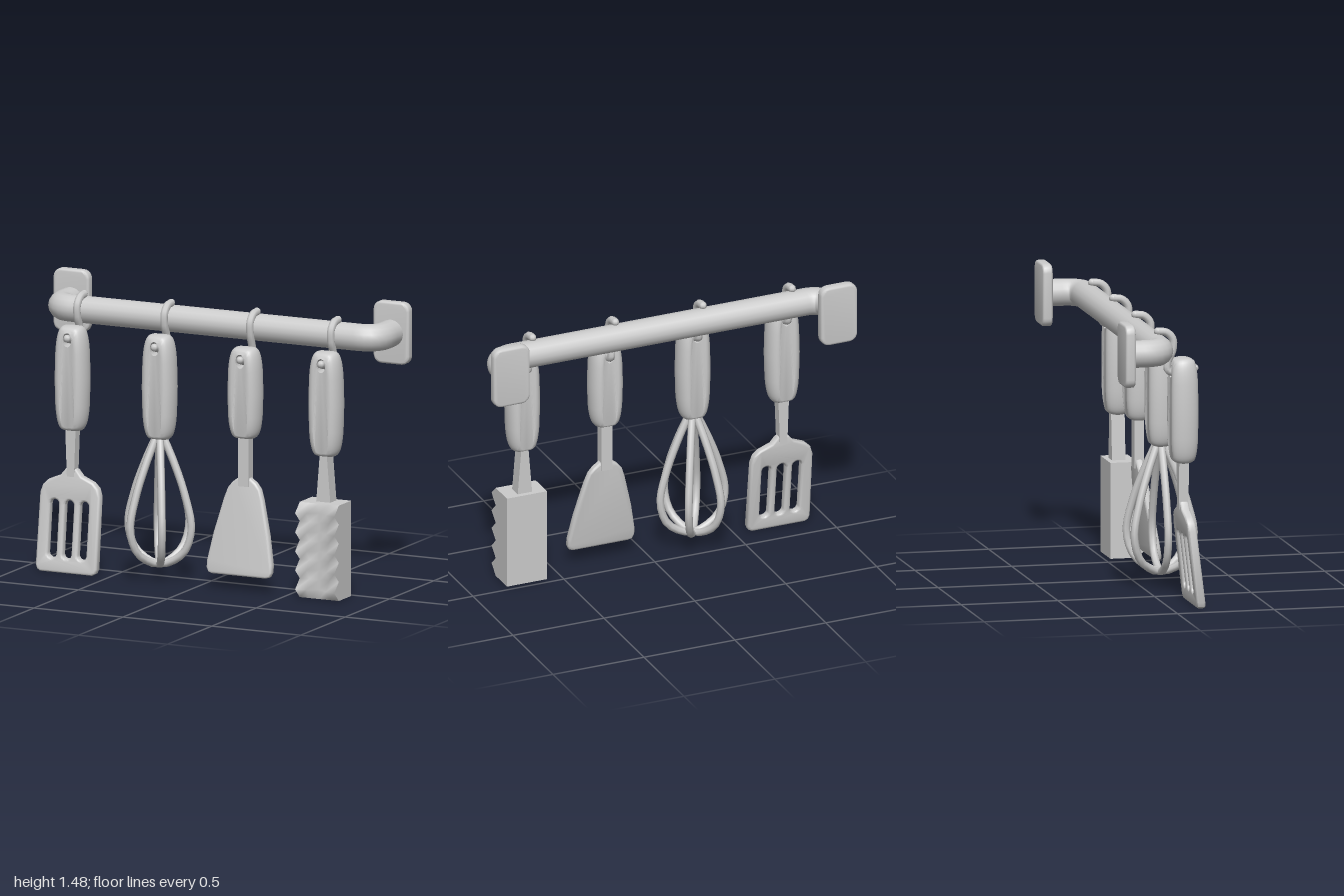
import * as THREE from 'three';
import { toCreasedNormals } from 'three/addons/utils/BufferGeometryUtils.js';

const material = new THREE.MeshStandardMaterial({ color: 0xcccccc });

function part(name, geometry, parent, crease = 0.6) {
  const mesh = new THREE.Mesh(crease ? toCreasedNormals(geometry, crease) : geometry, material);
  mesh.name = name;
  parent.add(mesh);
  return mesh;
}

const signedPower = (v, e) => Math.sign(v) * Math.abs(v) ** e;

// Closed surface through rings of equal length; the last ring joins the first
function loopedRings(rings) {
  const n = rings[0].length, index = [];
  rings.forEach((_, r) => {
    const next = (r + 1) % rings.length;
    for (let i = 0; i < n; i++) {
      const j = (i + 1) % n;
      const a = r * n + i, b = r * n + j, c = next * n + i, d = next * n + j;
      index.push(a, b, c, b, d, c);
    }
  });
  const geometry = new THREE.BufferGeometry();
  geometry.setAttribute('position', new THREE.Float32BufferAttribute(rings.flat(2), 3));
  geometry.setIndex(index);
  return geometry;
}

// Rounded grip with a hanging hole near its top
function handleGeometry(bottom, top) {
  const n = 40, cy = (top + bottom) / 2, h = (top - bottom) / 2, depth = 0.07, holeY = top - 0.066;
  const ring = (f) => Array.from({ length: n }, (_, i) => f((i / n) * Math.PI * 2));
  const hole = (z) => ring((t) => [0.024 * Math.sin(t), holeY + 0.036 * Math.cos(t), z]);
  const outer = (a) => ring((t) => {
    const inset = 1 - Math.cos(a), v = signedPower(Math.cos(t), 0.35);
    const x = 0.09 * signedPower(Math.sin(t), 0.35) * (1 - 0.16 * v * v);
    return [x * (1 - 0.5 * inset), cy + h * v * (1 - 0.08 * inset), depth * Math.sin(a) * (1 - 0.2 * v ** 4)];
  });
  const rings = [hole(-depth * 0.9), hole(depth * 0.9)];
  for (let k = 6; k >= -6; k--) rings.push(outer((k / 6) * Math.PI / 2));
  return loopedRings(rings);
}

// Symmetrical bevelled plate from the right half of its outline
function plateGeometry(half, thickness, slots = []) {
  const outline = [...half, ...half.map(([x, y]) => [-x, y]).reverse()];
  const shape = new THREE.Shape(outline.map(([x, y]) => new THREE.Vector2(x, y)));
  shape.holes = slots;
  const bevel = 0.012;
  return new THREE.ExtrudeGeometry(shape, {
    depth: thickness - 2 * bevel, bevelThickness: bevel, bevelSize: bevel,
    bevelOffset: -bevel, bevelSegments: 3, curveSegments: 6,
  }).translate(0, 0, bevel - thickness / 2);
}

// Lean the lower part of a blade forwards
function lean(geometry, fromY, slope) {
  const p = geometry.attributes.position;
  for (let i = 0; i < p.count; i++) p.setZ(i, p.getZ(i) + Math.max(0, fromY - p.getY(i)) * slope);
  return geometry;
}

// Square-section stem between two heights
function neck(parent, top, bottom, topHalf, bottomHalf, depth) {
  const middle = (top + bottom) / 2;
  const geometry = new THREE.BoxGeometry(2, top - bottom, depth).translate(0, middle, 0);
  const p = geometry.attributes.position;
  for (let i = 0; i < p.count; i++) p.setX(i, p.getX(i) * (p.getY(i) > middle ? topHalf : bottomHalf));
  part('neck', geometry, parent);
}

function slottedTurner(g) {
  neck(g, 0.76, 0.49, 0.03, 0.02, 0.05);
  const slots = [-0.084, 0, 0.084].map((x) => {
    const s = new THREE.Path();
    s.absarc(x, 0.345, 0.025, 0, Math.PI, false);
    s.absarc(x, 0.1, 0.025, Math.PI, Math.PI * 2, false);
    s.closePath();
    return s;
  });
  const half = [[0.145, 0.003], [0.163, 0.013], [0.172, 0.035], [0.168, 0.4], [0.155, 0.44], [0.125, 0.468],
    [0.06, 0.495], [0.03, 0.53]];
  part('slottedBlade', lean(plateGeometry(half, 0.046, slots), 0.5, 0.12), g);
}

function whisk(g) {
  const profile = [[0.015, 0.75], [0.085, 0.6], [0.145, 0.44], [0.178, 0.28], [0.14, 0.16], [0.06, 0.1]];
  const loop = [...profile, [0, 0.085], ...profile.map(([r, y]) => [-r, y]).reverse()];
  for (let k = 0; k < 3; k++) {
    const curve = new THREE.CatmullRomCurve3(loop.map(([r, y]) => new THREE.Vector3(r, y, 0)));
    part('whiskWire', new THREE.TubeGeometry(curve, 36, 0.02, 8), g, 0).rotation.y = (k * Math.PI) / 3;
  }
}

function turner(g) {
  neck(g, 0.8, 0.53, 0.03, 0.03, 0.05);
  const half = [[0.15, 0.08], [0.172, 0.087], [0.183, 0.11], [0.182, 0.15], [0.155, 0.29], [0.108, 0.47],
    [0.09, 0.52], [0.065, 0.55], [0.03, 0.575]];
  part('turnerBlade', lean(plateGeometry(half, 0.04), 0.54, 0.14), g);
}

function mallet(g) {
  neck(g, 0.76, 0.49, 0.018, 0.04, 0.07);
  // Block whose front rises into two columns of teeth with a groove between
  const geometry = new THREE.BoxGeometry(0.22, 0.49, 0.14, 4, 10, 1);
  const p = geometry.attributes.position;
  for (let i = 0; i < p.count; i++) {
    if (p.getZ(i) < 0) continue;
    const row = Math.round((p.getY(i) / 0.49 + 0.5) * 10);
    const across = Math.min(1, Math.abs(p.getX(i)) / 0.08);
    p.setZ(i, 0.07 + (row % 2) * 0.052 * across);
  }
  geometry.computeVertexNormals();
  part('toothedHead', geometry.translate(0, 0.25, 0.01), g, 0);
}

// Bent hook reaching from the rail through the hole of a handle
function hook(g, top) {
  const d = top - 1.26;
  const points = [[-0.13, 1.402], [-0.085, 1.395], [-0.052, 1.36], [-0.053, 1.3], [-0.077, 1.24 + d],
    [-0.078, 1.2 + d], [-0.045, 1.182 + d], [0.01, 1.188 + d], [0.062, 1.202 + d]]
    .map(([z, y]) => new THREE.Vector3(0, y, z));
  part('hook', new THREE.TubeGeometry(new THREE.CatmullRomCurve3(points), 32, 0.02, 8), g, 0);
  for (const end of [points[0], points[points.length - 1]]) {
    part('hookEnd', new THREE.SphereGeometry(0.02, 8, 6), g, 0).position.copy(end);
  }
}

function rail(g) {
  const y = 1.32, v = (x, z) => new THREE.Vector3(x, y, z);
  const path = new THREE.CurvePath();
  path.add(new THREE.LineCurve3(v(-0.9, -0.24), v(-0.9, -0.15)));
  path.add(new THREE.QuadraticBezierCurve3(v(-0.9, -0.15), v(-0.9, -0.05), v(-0.8, -0.05)));
  path.add(new THREE.LineCurve3(v(-0.8, -0.05), v(0.8, -0.05)));
  path.add(new THREE.QuadraticBezierCurve3(v(0.8, -0.05), v(0.9, -0.05), v(0.9, -0.15)));
  path.add(new THREE.LineCurve3(v(0.9, -0.15), v(0.9, -0.24)));
  part('rail', new THREE.TubeGeometry(path, 100, 0.07, 16), g, 0);

  // Wall plates with rounded corners
  const corner = [], w = 0.1, h = 0.16, r = 0.045;
  for (const [cy, start] of [[-h + r, -90], [h - r, 0]]) {
    for (let k = 0; k <= 5; k++) {
      const a = THREE.MathUtils.degToRad(start + k * 18);
      corner.push([w - r + r * Math.cos(a), cy + r * Math.sin(a)]);
    }
  }
  for (const side of [-1, 1]) {
    part('wallPlate', plateGeometry(corner, 0.052), g).position.set(side * 0.9, y, -0.239);
  }
}

export function createModel() {
  const model = new THREE.Group();
  model.name = 'utensilRail';
  rail(model);

  // Name, x, handle bottom, handle top, working end
  const utensils = [
    ['slottedTurner', -0.737, 0.725, 1.265, slottedTurner],
    ['whisk', -0.247, 0.725, 1.265, whisk],
    ['turner', 0.235, 0.775, 1.245, turner],
    ['mallet', 0.69, 0.725, 1.265, mallet],
  ];
  for (const [name, x, bottom, top, build] of utensils) {
    const g = new THREE.Group();
    g.name = name;
    g.position.set(x, 0, 0.09);
    part('handle', handleGeometry(bottom, top), g, 0.7);
    hook(g, top);
    build(g);
    model.add(g);
  }
  return model;
}
